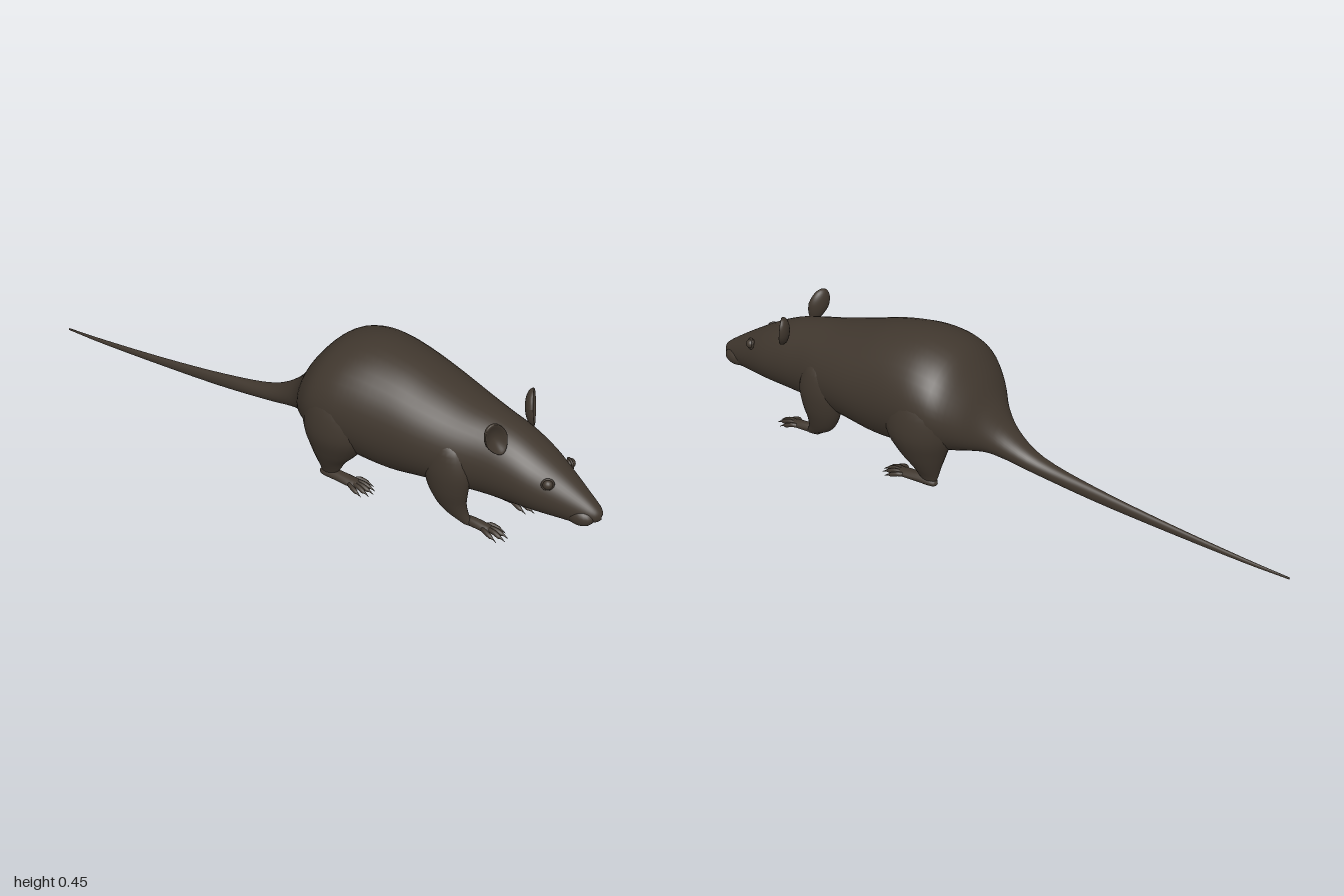
import * as THREE from 'three';

const fur = new THREE.MeshStandardMaterial({ color: 0x40372e });
fur.name = 'dark brown fur';

function mesh(name, geometry, parent) {
  const m = new THREE.Mesh(geometry, fur);
  m.name = name;
  parent.add(m);
  return m;
}

// Smooth skin over rings [cx, cy, cz, ra, rb]; rings stand upright, or lie flat for legs.
// Sections run towards -z (upright) or -y (flat).
function loft(sections, flat = false, steps = 4, sides = 24) {
  const centre = new THREE.CatmullRomCurve3(
    sections.map(s => new THREE.Vector3(s[0], s[1], s[2])), false, 'catmullrom', 0.5);
  const radii = new THREE.CatmullRomCurve3(
    sections.map(s => new THREE.Vector3(s[3], s[4], 0)), false, 'catmullrom', 0.5);
  const rows = (sections.length - 1) * steps;
  const pos = [], index = [];
  for (let i = 0; i <= rows; i++) {
    const c = centre.getPoint(i / rows), r = radii.getPoint(i / rows);
    const ra = Math.max(r.x, 0.0004), rb = Math.max(r.y, 0.0004);
    for (let j = 0; j < sides; j++) {
      const a = (j / sides) * Math.PI * 2;
      const u = Math.cos(a) * ra, v = Math.sin(a) * rb;
      if (flat) pos.push(c.x + u, c.y, c.z - v);
      else pos.push(c.x + u, c.y + v, c.z);
      if (i === rows) continue;
      const k = (j + 1) % sides, p = i * sides, q = p + sides;
      index.push(p + j, q + j, p + k, p + k, q + j, q + k);
    }
  }
  const g = new THREE.BufferGeometry();
  g.setAttribute('position', new THREE.Float32BufferAttribute(pos, 3));
  g.setIndex(index);
  g.computeVertexNormals();
  return g;
}

// Head, trunk and tail outline: z, top, bottom, half width
const outline = [
  [1, 0.166, 0.15, 0.004], [0.985, 0.184, 0.137, 0.024], [0.94, 0.217, 0.117, 0.044],
  [0.88, 0.257, 0.113, 0.066], [0.8, 0.305, 0.111, 0.094], [0.72, 0.343, 0.108, 0.109],
  [0.64, 0.365, 0.104, 0.122], [0.55, 0.384, 0.098, 0.147], [0.45, 0.413, 0.087, 0.169],
  [0.35, 0.443, 0.072, 0.184], [0.25, 0.457, 0.08, 0.198], [0.17, 0.449, 0.093, 0.203],
  [0.1, 0.418, 0.104, 0.19], [0.04, 0.35, 0.115, 0.145], [-0.01, 0.268, 0.114, 0.088],
  [-0.07, 0.194, 0.101, 0.053], [-0.17, 0.133, 0.077, 0.03], [-0.36, 0.092, 0.047, 0.016],
  [-0.6, 0.055, 0.026, 0.01], [-0.85, 0.025, 0.01, 0.006], [-1, 0.012, 0.005, 0.002],
];

// Foot with a fan of arched, clawed toes
function addFoot(parent, name, x, heel, tip, halfWidth, toes) {
  const foot = new THREE.Group();
  foot.name = name;
  parent.add(foot);
  const ball = tip - 0.065;
  mesh(name + 'Pad', loft([
    [x, 0.015, ball + 0.018, 0.003, 0.002], [x, 0.017, ball, halfWidth * 0.66, 0.011],
    [x, 0.019, (ball + heel) / 2, halfWidth * 0.62, 0.015],
    [x, 0.017, heel + 0.015, halfWidth * 0.5, 0.013], [x, 0.014, heel, 0.002, 0.002],
  ], false, 4, 14), foot);
  for (let i = 0; i < toes; i++) {
    const s = (i / (toes - 1)) * 2 - 1;
    const end = tip - 0.022 * s * s;
    const at = t => x + s * halfWidth * t;
    mesh('toe', loft([
      [at(1.05), 0.004, end, 0.0005, 0.0005], [at(0.97), 0.012, end - 0.015, 0.003, 0.004],
      [at(0.9), 0.014, end - 0.024, 0.0065, 0.008], [at(0.75), 0.02, end - 0.045, 0.0065, 0.008],
      [at(0.5), 0.018, ball - 0.015, 0.006, 0.007],
    ], false, 3, 8), foot);
  }
}

// Cupped ear, hollow on its front
function earGeometry() {
  const g = new THREE.SphereGeometry(1, 28, 20);
  g.rotateX(Math.PI / 2);
  const p = g.attributes.position;
  for (let i = 0; i < p.count; i++) {
    const z = p.getZ(i);
    if (z > 0) p.setZ(i, z * (1 - 1.6 * z));
    if (p.getY(i) < 0) p.setX(i, p.getX(i) * (1 + 0.25 * p.getY(i)));
  }
  g.scale(0.036, 0.056, 0.024);
  g.computeVertexNormals();
  return g;
}

export function createModel() {
  const model = new THREE.Group();
  model.name = 'rodent';
  mesh('bodyAndTail', loft(outline.map(([z, top, bottom, w]) =>
    [0, (top + bottom) / 2, z, w, (top - bottom) / 2]), false, 4, 40), model);

  // Muzzle
  const nose = mesh('nose', new THREE.SphereGeometry(1, 16, 12), model);
  nose.position.set(0, 0.162, 0.981);
  nose.scale.set(0.017, 0.014, 0.018);
  const jaw = mesh('lowerJaw', new THREE.SphereGeometry(1, 20, 14), model);
  jaw.position.set(0, 0.128, 0.915);
  jaw.scale.set(0.03, 0.016, 0.045);

  for (const side of [1, -1]) {
    const label = side > 0 ? 'left' : 'right';

    // Whisker pad and cheek
    const cheek = mesh(label + 'Cheek', new THREE.SphereGeometry(1, 20, 14), model);
    cheek.position.set(side * 0.022, 0.152, 0.94);
    cheek.scale.set(0.028, 0.029, 0.045);

    // Eye with lid
    const eye = new THREE.Group();
    eye.name = label + 'Eye';
    eye.position.set(side * 0.062, 0.246, 0.853);
    eye.rotation.set(-0.35, side * 0.95, 0);
    model.add(eye);
    mesh('eyeball', new THREE.SphereGeometry(0.015, 18, 12), eye);
    const lid = mesh('eyelid', new THREE.TorusGeometry(0.0165, 0.0035, 8, 24), eye);
    lid.scale.y = 0.95;

    // Ear
    const ear = mesh(label + 'Ear', earGeometry(), model);
    ear.position.set(side * 0.098, 0.357, 0.7);
    ear.rotation.set(-0.12, side * 0.45, -side * 0.3);

    // Hind leg, from haunch to ankle
    mesh(label + 'HindLeg', loft([
      [side * 0.12, 0.385, 0.17, 0.004, 0.004], [side * 0.12, 0.36, 0.17, 0.045, 0.06],
      [side * 0.124, 0.29, 0.175, 0.08, 0.105], [side * 0.129, 0.2, 0.178, 0.086, 0.112],
      [side * 0.13, 0.125, 0.168, 0.063, 0.08], [side * 0.13, 0.075, 0.155, 0.04, 0.05],
      [side * 0.129, 0.04, 0.15, 0.023, 0.035], [side * 0.129, 0.01, 0.145, 0.012, 0.02],
    ], true), model);
    addFoot(model, label + 'HindFoot', side * 0.132, 0.115, 0.31, 0.031, 5);

    // Front leg, from shoulder to wrist
    mesh(label + 'FrontLeg', loft([
      [side * 0.1, 0.31, 0.55, 0.004, 0.004], [side * 0.105, 0.28, 0.55, 0.038, 0.05],
      [side * 0.112, 0.21, 0.55, 0.045, 0.076], [side * 0.11, 0.14, 0.552, 0.04, 0.068],
      [side * 0.101, 0.085, 0.558, 0.033, 0.053], [side * 0.093, 0.045, 0.575, 0.024, 0.04],
      [side * 0.086, 0.012, 0.61, 0.012, 0.02],
    ], true), model);
    addFoot(model, label + 'FrontFoot', side * 0.081, 0.58, 0.745, 0.025, 4);
  }
  return model;
}
